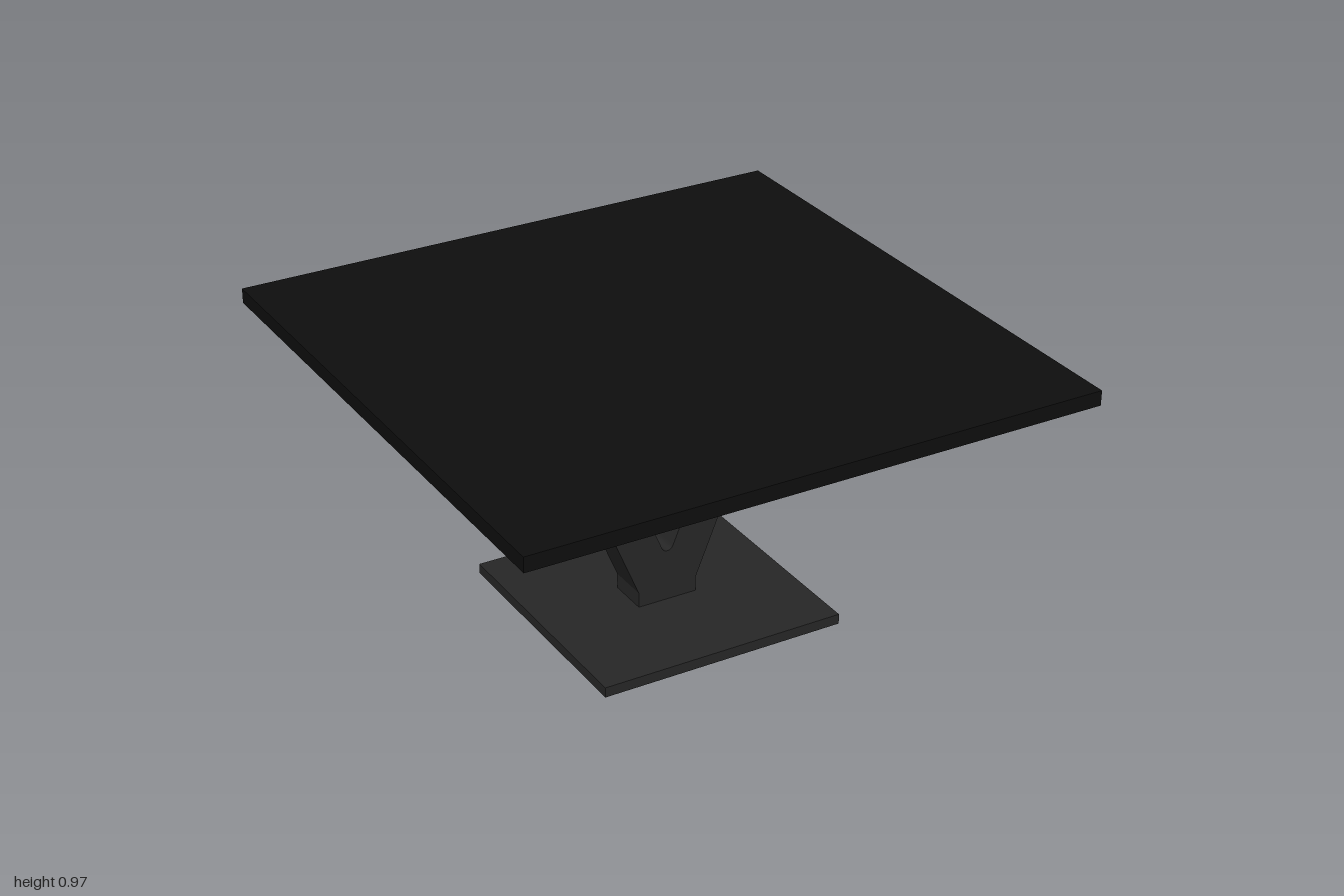
import * as THREE from 'three';

export function createModel() {
  const table = new THREE.Group();
  table.name = 'pedestalTable';
  const topMaterial = new THREE.MeshStandardMaterial({ color: 0x0e0e0e });
  const steelMaterial = new THREE.MeshStandardMaterial({ color: 0x262626 });

  const add = (name, geometry, material, y = 0) => {
    const mesh = new THREE.Mesh(geometry, material);
    mesh.name = name;
    mesh.position.y = y;
    table.add(mesh);
  };

  // Square slabs: floor plate and table top
  add('basePlate', new THREE.BoxGeometry(0.88, 0.036, 0.88), steelMaterial, 0.018);
  add('tableTop', new THREE.BoxGeometry(2, 0.052, 2), topMaterial, 0.944);

  // V-shaped pedestal with a rounded crotch between its arms
  const outline = new THREE.Shape();
  outline.moveTo(-0.109, 0.036);
  outline.lineTo(0.109, 0.036);
  outline.lineTo(0.109, 0.09);
  outline.lineTo(0.452, 0.918);
  outline.lineTo(0.306, 0.918);
  outline.lineTo(0.021, 0.236);
  outline.quadraticCurveTo(0.014, 0.221, 0, 0.221);
  outline.quadraticCurveTo(-0.014, 0.221, -0.021, 0.236);
  outline.lineTo(-0.306, 0.918);
  outline.lineTo(-0.452, 0.918);
  outline.lineTo(-0.109, 0.09);
  outline.closePath();
  const depth = 0.146;
  const pedestal = new THREE.ExtrudeGeometry(outline, { depth, bevelEnabled: false, curveSegments: 6 });
  pedestal.translate(0, 0, -depth / 2);
  add('vPedestal', pedestal, steelMaterial);

  return table;
}
